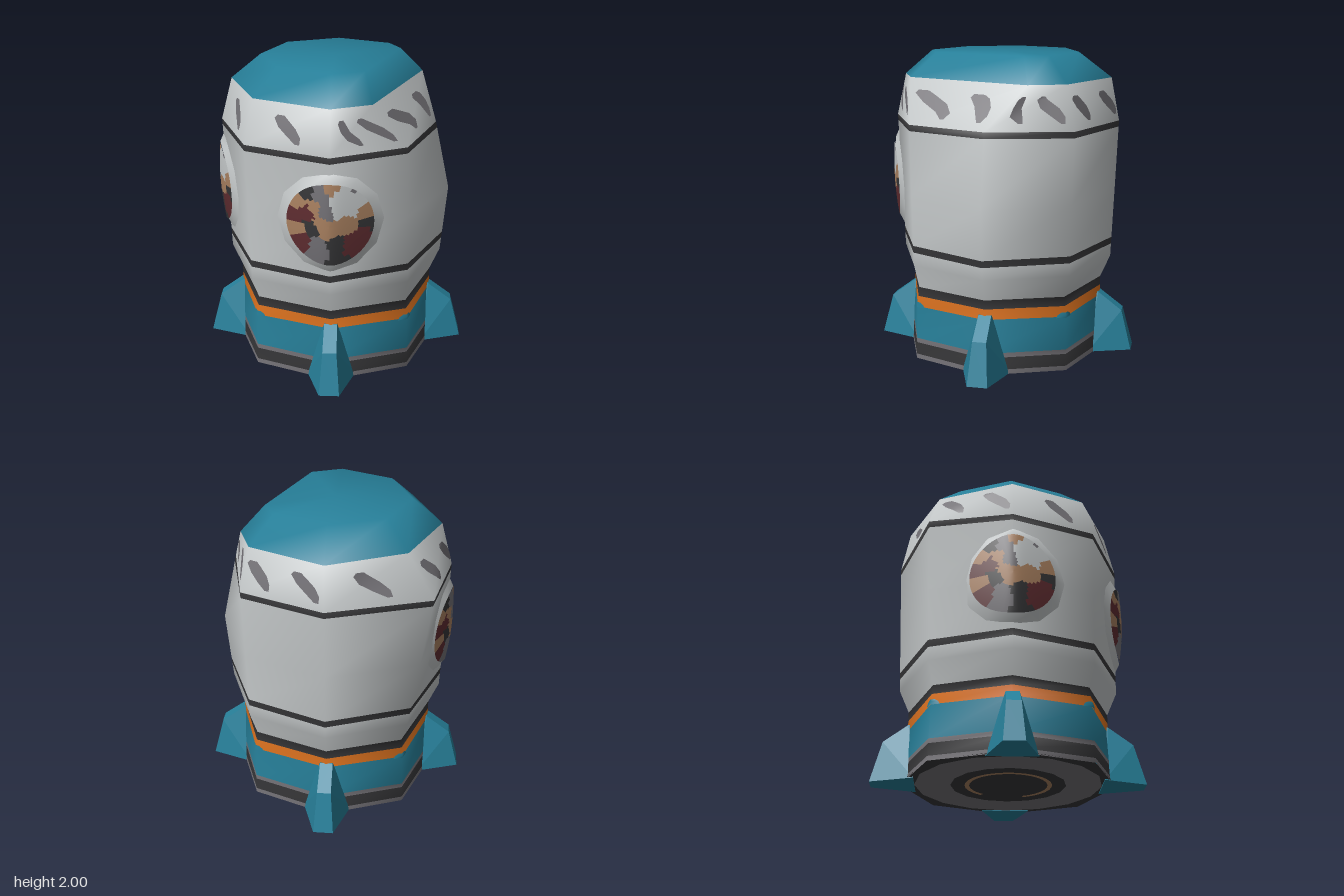
import * as THREE from 'three';
import { ConvexGeometry } from 'three/addons/geometries/ConvexGeometry.js';

const COLORS = {
  white: 0xc6cacb, teal: 0x27809a, dark: 0x363638, grey: 0x747277,
  orange: 0xde731f, tan: 0xab8261, maroon: 0x602d31,
};

// Octagonal ring, columns run from +x towards +z; overrides move single corners
function ring(axis, diag, overrides = {}) {
  return Array.from({ length: 8 }, (_, c) => {
    if (overrides[c]) return overrides[c];
    const r = c % 2 ? diag * Math.SQRT2 : axis;
    const a = c * Math.PI / 4;
    return [r * Math.cos(a), r * Math.sin(a)];
  });
}

// Hull cross-sections; one flank is cut back towards the top
const KEYS = [
  [0, ring(0.69, 0.5)],
  [0.36, ring(0.655, 0.49)],
  [0.49, ring(0.655, 0.48)],
  [0.64, ring(0.72, 0.515, { 1: [0.49, 0.51] })],
  [1.1, ring(0.738, 0.525, { 0: [0.76, 0], 1: [0.48, 0.52], 5: [-0.58, -0.53] })],
  [1.56, ring(0.755, 0.535, { 0: [0.66, 0], 1: [0.465, 0.53], 5: [-0.645, -0.535] })],
  [1.84, ring(0.68, 0.48, { 0: [0.57, -0.25], 1: [0.25, 0.58], 2: [0, 0.69], 6: [0, -0.7] })],
  [2, ring(0.485, 0.345, { 0: [0.42, -0.2], 1: [0.2, 0.42], 2: [0, 0.5] })],
];

// Painted bands: top height and colour, from the ground up
const BANDS = [
  [0.03, 'grey'], [0.11, 'dark'], [0.14, 'grey'], [0.36, 'teal'], [0.43, 'orange'],
  [0.49, 'dark'], [0.64, 'white'], [0.725, 'white'], [0.77, 'dark'], [1.1, 'white'],
  [1.52, 'white'], [1.56, 'dark'], [1.84, 'white'], [2, 'teal'],
];

function keyIndex(y) {
  let k = 0;
  while (k < KEYS.length - 2 && y > KEYS[k + 1][0]) k++;
  return k;
}

// Point on the hull at column coordinate c (0..8) and height y
function hullPoint(c, y) {
  const k = keyIndex(y);
  const [y0, low] = KEYS[k], [y1, high] = KEYS[k + 1];
  const v = (y - y0) / (y1 - y0);
  const i = Math.floor(c), u = c - i, m = i & 7, n = (i + 1) & 7;
  const mix = (j) => (u + v <= 1
    ? low[m][j] + u * (low[n][j] - low[m][j]) + v * (high[m][j] - low[m][j])
    : high[n][j] + (1 - u) * (high[m][j] - high[n][j]) + (1 - v) * (low[n][j] - high[n][j]));
  return new THREE.Vector3(mix(0), y, mix(1));
}

function makeGeometry(points, index) {
  const g = new THREE.BufferGeometry();
  g.setAttribute('position', new THREE.Float32BufferAttribute(points, 3));
  g.setIndex(index);
  g.computeVertexNormals();
  return g;
}

// One smooth shell with a material group for each band
function hullGeometry(names) {
  const points = [], index = [], groups = [];
  [0, ...BANDS.map((b) => b[0])].forEach((y) => {
    for (let c = 0; c < 8; c++) points.push(...hullPoint(c, y).toArray());
  });
  BANDS.forEach(([, color], i) => {
    const start = index.length;
    for (let c = 0; c < 8; c++) {
      const a = i * 8 + c, b = i * 8 + (c + 1) % 8;
      index.push(a, a + 8, b, b, a + 8, b + 8);
    }
    if (i === BANDS.length - 1) { // flat crown
      points.push(0, 2, 0);
      const top = points.length / 3 - 1;
      for (let c = 0; c < 8; c++) index.push(top, (i + 1) * 8 + (c + 1) % 8, (i + 1) * 8 + c);
    }
    groups.push([start, index.length - start, names.indexOf(color)]);
  });
  const g = makeGeometry(points, index);
  groups.forEach((gr) => g.addGroup(...gr));
  return g;
}

// Thin painted strip lying on the hull; rows are [y, rightColumn, leftColumn]
function decal(rows) {
  const points = [], index = [];
  rows.forEach(([y, c0, c1], i) => {
    for (let s = 0; s < 3; s++) {
      const p = hullPoint(c0 + (c1 - c0) * s / 2, y);
      const r = Math.hypot(p.x, p.z);
      points.push(p.x * (1 + 0.007 / r), y, p.z * (1 + 0.007 / r));
      if (i && s < 2) {
        const a = (i - 1) * 3 + s;
        index.push(a, a + 3, a + 1, a + 1, a + 3, a + 4);
      }
    }
  });
  return makeGeometry(points, index);
}

// Mottled reflection of the porthole: nearest spot gives the colour
const SPOTS = [
  ['white', 0.06, 0.12], ['white', 0.15, 0.17], ['white', 0.07, 0.2], ['white', 0.14, 0.1],
  ['tan', -0.09, 0.1], ['tan', 0, -0.03], ['tan', 0.21, 0.07], ['tan', 0.12, 0.01],
  ['tan', -0.2, -0.05], ['tan', 0.01, 0.25], ['tan', -0.06, 0.02], ['tan', -0.19, 0.15],
  ['maroon', -0.13, 0.07], ['maroon', -0.23, 0.05], ['maroon', -0.17, -0.12],
  ['maroon', 0.13, -0.14], ['maroon', 0.2, -0.08], ['grey', -0.03, 0.09],
  ['grey', -0.06, 0.2], ['grey', -0.05, -0.2], ['grey', -0.08, -0.14], ['grey', 0.17, 0.25],
  ['dark', -0.14, 0.21], ['dark', -0.11, -0.02], ['dark', 0.03, -0.22],
  ['dark', 0.22, 0], ['dark', 0.04, -0.13],
];

// Height of the porthole bubble above the centre axis, wrapped round the hull corner
function bubble(x, y, off) {
  return 0.758 + 0.038 * y - 0.42 * Math.hypot(x, 0.05) + off;
}

function portholeGeometry(radii, offsets, segs, names) {
  const points = [], index = [], buckets = names.map(() => []);
  radii.forEach((r, i) => {
    for (let s = 0; s < segs; s++) {
      const a = s / segs * Math.PI * 2, x = r * Math.cos(a), y = r * Math.sin(a);
      points.push(x, y, bubble(x, y, offsets(r)));
      if (!i) continue;
      const n = (s + 1) % segs, p = (i - 1) * segs, q = i * segs;
      const mid = (s + 0.5) / segs * Math.PI * 2, rm = (r + radii[i - 1]) / 2;
      let best = 9, color = 'white';
      if (r <= 0.2701) SPOTS.forEach(([name, sx, sy]) => {
        const d = Math.hypot(rm * Math.cos(mid) - sx, rm * Math.sin(mid) - sy);
        if (d < best) { best = d; color = name; }
      });
      buckets[names.indexOf(color)].push(p + s, q + s, p + n, p + n, q + s, q + n);
    }
  });
  const groups = buckets.map((b) => { const start = index.length; index.push(...b); return [start, b.length]; });
  const g = makeGeometry(points, index);
  groups.forEach(([start, count], i) => count && g.addGroup(start, count, i));
  return g;
}

export function createModel() {
  const model = new THREE.Group();
  model.name = 'rocket';
  const names = Object.keys(COLORS);
  const mats = {};
  names.forEach((n) => {
    mats[n] = new THREE.MeshStandardMaterial({ color: COLORS[n] });
    mats[n].name = n;
  });
  const all = names.map((n) => mats[n]);
  const add = (name, geometry, material, parent = model) => {
    const mesh = new THREE.Mesh(geometry, material);
    mesh.name = name;
    parent.add(mesh);
    return mesh;
  };

  add('hull', hullGeometry(names), all);

  // Slanted grey marks round the shoulder
  [0.3, 0.78, 1.22, 1.65, 2.5, 3.4, 4.2, 4.75, 5.5, 6.22, 6.8, 7.25, 7.72].forEach((c) => {
    add('shoulderMark', decal([
      [1.61, c - 0.16, c - 0.11], [1.65, c - 0.17, c - 0.02], [1.7, c - 0.12, c + 0.09],
      [1.75, c - 0.01, c + 0.16], [1.77, c + 0.04, c + 0.13],
    ]), mats.grey);
  });

  // Teal tabs rising into the orange stripe
  [1, 3, 5, 7].forEach((c) => add('stripeTab', decal([
    [0.355, c - 0.12, c + 0.12], [0.375, c - 0.1, c + 0.1], [0.39, c - 0.05, c + 0.05],
  ]), mats.teal));

  // Portholes on the front and the right
  const radii = [0.001, ...Array.from({ length: 14 }, (_, i) => 0.27 * (i + 1) / 14)];
  const lift = (r) => (r > 0.3 ? -0.002 : 0.045 - 0.018 * (r / 0.27) ** 2);
  const glass = portholeGeometry(radii, lift, 48, names);
  const rim = portholeGeometry([0.27, 0.33], (r) => lift(r), 12, names);
  [0, -Math.PI / 2].forEach((turn) => {
    const porthole = new THREE.Group();
    porthole.name = 'porthole';
    porthole.position.y = 1.13;
    porthole.rotation.y = turn;
    add('portholeGlass', glass, all, porthole);
    add('portholeRim', rim, all, porthole);
    model.add(porthole);
  });

  // Four wedge fins
  const corners = [];
  [[0.16, 0, 0.6], [0.065, 0, 0.88], [0.045, 0.27, 0.81], [0.042, 0.39, 0.65], [0.042, 0.39, 0.56]]
    .forEach(([x, y, z]) => corners.push(new THREE.Vector3(x, y, z), new THREE.Vector3(-x, y, z)));
  const finGeometry = new ConvexGeometry(corners);
  for (let i = 0; i < 4; i++) add('fin', finGeometry, mats.teal).rotation.y = i * Math.PI / 2;

  // Underside plate, ring and nozzle mark
  const under = (name, geometry, y, material) => {
    const mesh = add(name, geometry, material);
    mesh.rotation.x = Math.PI / 2;
    mesh.position.y = y;
  };
  under('basePlate', new THREE.CircleGeometry(0.7, 8), 0.006, mats.dark);
  under('baseRing', new THREE.RingGeometry(0.37, 0.6, 16), 0.003, mats.grey);
  under('nozzleMark', new THREE.RingGeometry(0.25, 0.28, 24, 1, 0.4, 5.2), 0.002, mats.tan);
  return model;
}
